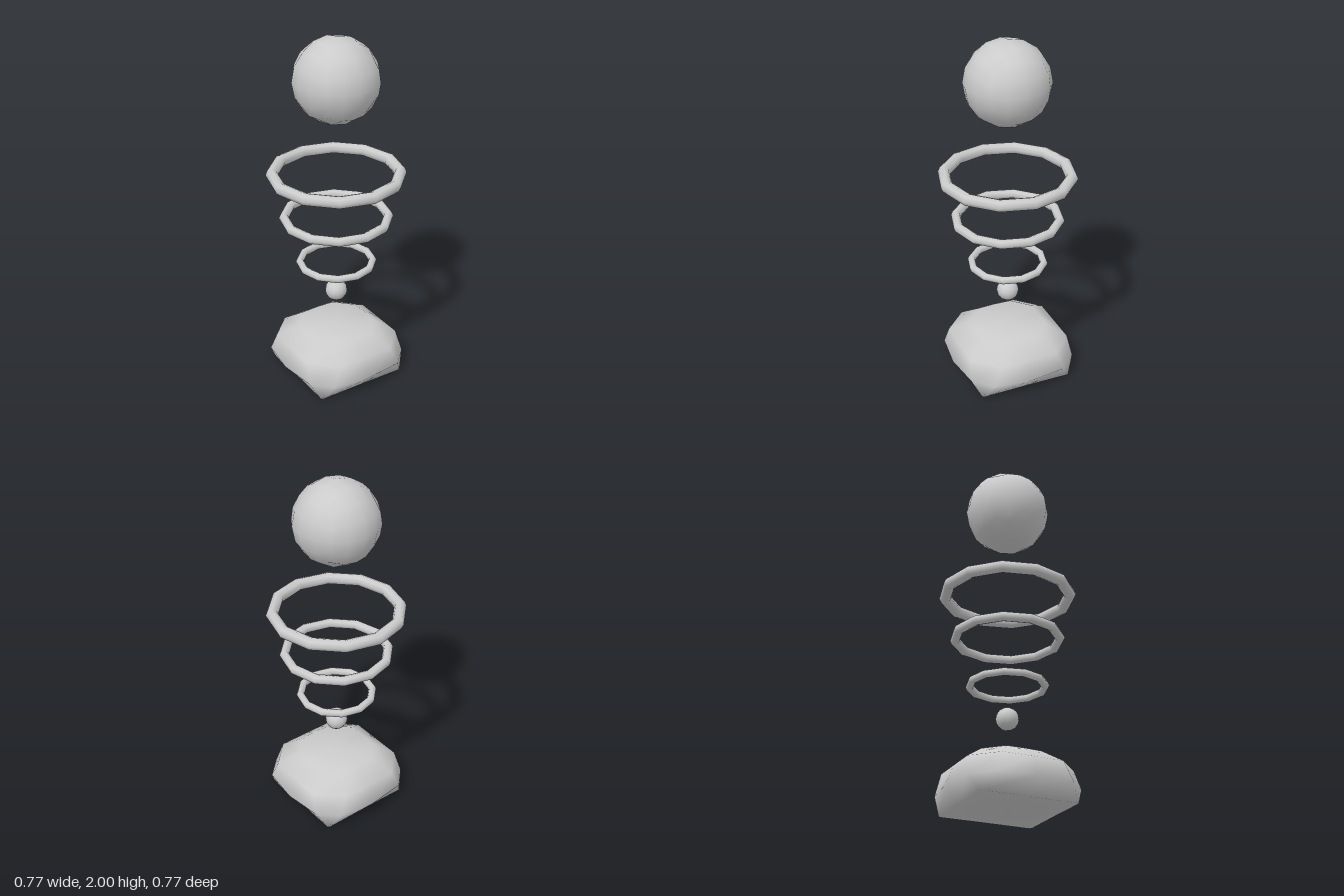
import * as THREE from 'three';
import { mergeVertices } from 'three/addons/utils/BufferGeometryUtils.js';

const material = new THREE.MeshStandardMaterial({ color: 0xcccccc });

function addPart(group, name, geometry, y) {
  const mesh = new THREE.Mesh(geometry, material);
  mesh.name = name;
  mesh.position.y = y;
  group.add(mesh);
}

// Ball made from a 4x4x4 cube pushed out to a sphere with equal angles
function cubeBall(radius) {
  let geo = new THREE.BoxGeometry(2, 2, 2, 4, 4, 4);
  geo.deleteAttribute('uv');
  geo.deleteAttribute('normal');
  geo = mergeVertices(geo);
  const pos = geo.attributes.position;
  const v = new THREE.Vector3();
  const spread = (t) => Math.tan((t * Math.PI) / 4);
  for (let i = 0; i < pos.count; i++) {
    v.fromBufferAttribute(pos, i);
    v.set(spread(v.x), spread(v.y), spread(v.z)).setLength(radius);
    pos.setXYZ(i, v.x, v.y, v.z);
  }
  geo.computeVertexNormals();
  return geo;
}

// Flat-lying ring with twelve straight sections
function ringGeometry(radius, tube) {
  return new THREE.TorusGeometry(radius, tube, 8, 12).rotateX(Math.PI / 2);
}

// Rounded stone: twelve-point loops, each [height, side middle, corner long, corner short]
function stoneGeometry() {
  const layers = [
    [0, 0.27, 0.272, 0.262],
    [0.09, 0.345, 0.317, 0.217],
    [0.2, 0.302, 0.302, 0.17],
    [0.275, 0.2, 0.195, 0.1],
  ];
  const points = [];
  const index = [];
  for (const [y, side, long, short] of layers) {
    for (let q = 0; q < 4; q++) {
      const c = Math.round(Math.cos((q * Math.PI) / 2));
      const s = Math.round(Math.sin((q * Math.PI) / 2));
      for (const [x, z] of [[side, 0], [long, short], [short, long]]) {
        points.push(x * c - z * s, y, x * s + z * c);
      }
    }
  }
  const bottom = layers.length * 12;
  const top = bottom + 1;
  points.push(0, 0, 0, 0, layers[layers.length - 1][0], 0);
  for (let i = 0; i < 12; i++) {
    const j = (i + 1) % 12;
    for (let k = 0; k < layers.length - 1; k++) {
      const a = k * 12 + i;
      const b = k * 12 + j;
      index.push(a, a + 12, b, b, a + 12, b + 12);
    }
    const last = (layers.length - 1) * 12;
    index.push(bottom, i, j, top, last + j, last + i);
  }
  const geo = new THREE.BufferGeometry();
  geo.setAttribute('position', new THREE.Float32BufferAttribute(points, 3));
  geo.setIndex(index);
  geo.computeVertexNormals();
  return geo;
}

export function createModel() {
  const group = new THREE.Group();
  group.name = 'floatingStack';

  addPart(group, 'baseStone', stoneGeometry(), 0);
  addPart(group, 'smallBall', cubeBall(0.063), 0.497);
  addPart(group, 'lowerRing', ringGeometry(0.205, 0.022), 0.685);
  addPart(group, 'middleRing', ringGeometry(0.289, 0.027), 0.964);
  addPart(group, 'upperRing', ringGeometry(0.349, 0.034), 1.227);
  addPart(group, 'largeBall', cubeBall(0.236), 1.764);

  return group;
}
